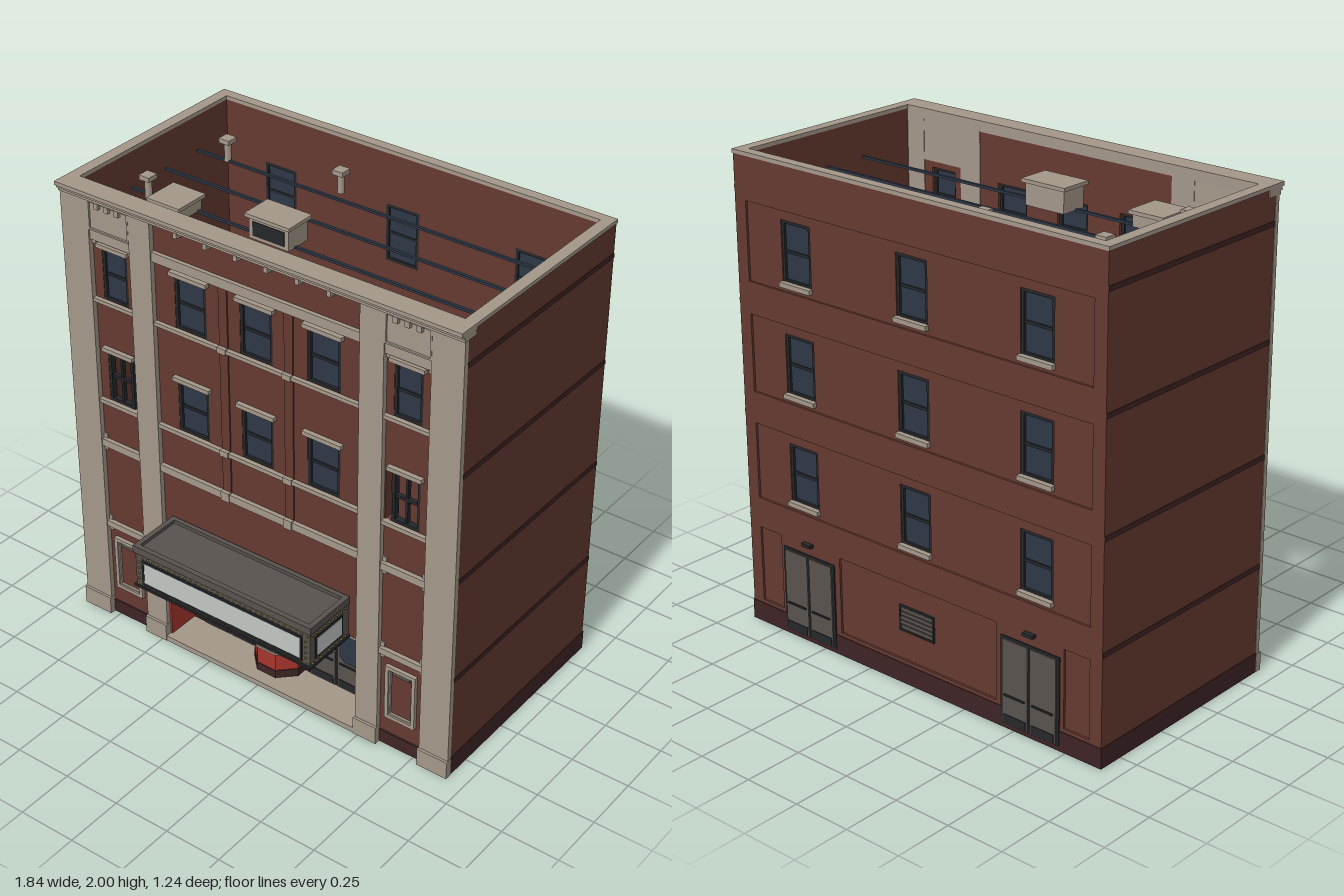
import * as THREE from 'three';

const mat = (name, color, double) => {
  const m = new THREE.MeshStandardMaterial({ color });
  m.name = name;
  if (double) m.side = THREE.DoubleSide;
  return m;
};

export function createModel() {
  const model = new THREE.Group();
  model.name = 'theatreBuilding';
  const brick = mat('brick', 0x653a30), stone = mat('stone', 0xa4988a), base = mat('darkBrick', 0x3f2425),
    red = mat('redPanel', 0xa8342d), metal = mat('greyMetal', 0x59534e), dark = mat('darkFrame', 0x25272a),
    glass = mat('glass', 0x2d3846), white = mat('signWhite', 0xc2c8c4), gold = mat('bulbGold', 0x96781f);

  const add = (name, geo, m, parent = model) => {
    const mesh = new THREE.Mesh(geo, m);
    mesh.name = name;
    parent.add(mesh);
    return mesh;
  };
  // Box given by its limits on each axis
  const box = (name, m, x0, x1, y0, y1, z0, z1, parent) => {
    const g = new THREE.BoxGeometry(x1 - x0, y1 - y0, z1 - z0);
    g.translate((x0 + x1) / 2, (y0 + y1) / 2, (z0 + z1) / 2);
    return add(name, g, m, parent);
  };
  // Same box on both sides of x = 0
  const pair = (name, m, x0, x1, ...r) => {
    box(name + 'Left', m, x0, x1, ...r);
    box(name + 'Right', m, -x1, -x0, ...r);
  };
  const rect = (T, [x0, x1, y0, y1]) =>
    new T([[x0, y0], [x1, y0], [x1, y1], [x0, y1]].map(p => new THREE.Vector2(...p)));
  // Flat wall with rectangular openings
  const wall = (name, m, outline, holes, z0, z1, parent) => {
    const s = rect(THREE.Shape, outline);
    holes.forEach(h => s.holes.push(rect(THREE.Path, h)));
    const g = new THREE.ExtrudeGeometry(s, { depth: z1 - z0, bevelEnabled: false });
    g.translate(0, 0, z0);
    return add(name, g, m, parent);
  };
  const ring = (name, m, x0, x1, y0, y1, t, z0, z1, parent) =>
    wall(name, m, [x0, x1, y0, y1], [[x0 + t, x1 - t, y0 + t, y1 - t]], z0, z1, parent);

  // Sash window, facing +z at depth z
  const sash = (name, x, y0, w, h, z, hood, glazed = true) => {
    const g = new THREE.Group();
    g.name = name;
    g.position.set(x, y0, z);
    const a = w / 2;
    ring('windowFrame', dark, -a, a, 0, h, 0.013, -0.03, -0.004, g);
    box('meetingRail', dark, -a + 0.01, a - 0.01, h / 2 - 0.006, h / 2 + 0.006, -0.026, -0.008, g);
    if (glazed) box('windowGlass', glass, -a + 0.01, a - 0.01, 0.01, h - 0.01, -0.022, -0.014, g);
    else box('centreBar', dark, -0.005, 0.005, 0.01, h - 0.01, -0.026, -0.008, g);
    if (hood) box('windowHood', stone, -a - 0.014, a + 0.014, h, h + 0.018, -0.005, 0.018, g);
    else box('windowSill', stone, -a - 0.005, a + 0.005, -0.016, 0.004, -0.02, 0.018, g);
    model.add(g);
    return g;
  };

  // Floor, plinth and side walls
  box('floor', base, -0.918, 0.918, 0.002, 0.02, -0.608, 0.35);
  box('entranceFloor', stone, -0.478, 0.478, 0, 0.024, 0.215, 0.385);
  pair('sideWall', brick, 0.875, 0.918, 0.01, 1.985, -0.608, 0.357);
  pair('sidePlinth', base, 0.9, 0.921, 0, 0.085, -0.612, 0.357);
  for (const y of [0.465, 0.925, 1.39, 1.85]) pair('sideBand', base, 0.91, 0.921, y - 0.01, y + 0.01, -0.608, 0.357);

  // Back wall with sunken panels and nine windows
  const floors = [0.595, 1.055, 1.515], W = 0.155, H = 0.25, holes = [];
  for (const y of floors) for (const x of [-0.6, 0, 0.6]) holes.push([x - W / 2, x + W / 2, y, y + H]);
  wall('backWall', brick, [-0.876, 0.876, 0.02, 1.985], holes, -0.6, -0.57);
  wall('backPanelFrames', brick, [-0.918, 0.918, 0.02, 1.985], [
    ...floors.map(y => [-0.86, 0.86, y - 0.035, y + 0.29]),
    [-0.86, -0.74, 0.1, 0.43], [-0.41, 0.41, 0.1, 0.43], [0.74, 0.86, 0.1, 0.43]], -0.609, -0.599);
  box('backPlinth', base, -0.921, 0.921, 0, 0.085, -0.612, -0.59);
  for (const y of floors) for (const x of [-0.6, 0, 0.6])
    sash('backWindow', x, y, W, H, -0.6, false).rotation.y = Math.PI;

  // Double door facing +z, with its own origin on the ground
  const ovalShape = (w, h, c) => new THREE.Shape([[-w + c, -h], [w - c, -h], [w, -h + c], [w, h - c],
    [w - c, h], [-w + c, h], [-w, h - c], [-w, -h + c]].map(p => new THREE.Vector2(...p)));
  const doubleDoor = (name, x, z, fancy) => {
    const g = new THREE.Group();
    g.name = name;
    g.position.set(x, 0, z);
    box('doorFrame', dark, -0.142, 0.142, 0.02, fancy ? 0.43 : 0.39, 0, 0.006, g);
    if (fancy) box('transomGlass', glass, -0.133, 0.133, 0.375, 0.42, 0.004, 0.009, g);
    for (const s of [-1, 1]) {
      const c = s * 0.068;
      box('doorLeaf', metal, c - 0.062, c + 0.062, 0.025, fancy ? 0.365 : 0.38, 0, 0.012, g);
      box('kickPlate', dark, c - 0.055, c + 0.055, 0.03, 0.065, 0.01, 0.015, g);
      box('pushBar', dark, c - 0.05, c + 0.05, 0.145, 0.152, 0.01, 0.018, g);
      if (fancy) for (const [m, k, d] of [[dark, 0.006, 0.013], [glass, 0, 0.014]]) {
        const p = add('doorGlass', new THREE.ShapeGeometry(ovalShape(0.047 + k, 0.088 + k, 0.025)), m, g);
        p.position.set(c, 0.255, d);
      }
    }
    model.add(g);
    return g;
  };
  for (const x of [-0.58, 0.58]) {
    doubleDoor('backDoor', x, -0.609, false).rotation.y = Math.PI;
    box('backDoorLamp', dark, x - 0.025, x + 0.025, 0.43, 0.443, -0.63, -0.605);
  }
  ring('ventFrame', dark, -0.09, 0.09, 0.225, 0.335, 0.008, -0.608, -0.598);
  for (let i = 0; i < 5; i++) box('ventSlat', metal, -0.083, 0.083, 0.235 + i * 0.019, 0.249 + i * 0.019, -0.606, -0.599);

  // Brick infill of the front, with window openings
  const wx = [-0.31, 0, 0.31], rows = [1.07, 1.53], wh = 0.23, fh = [];
  for (const y of rows) for (const x of wx) fh.push([x - 0.075, x + 0.075, y, y + wh]);
  wall('frontWallCentre', brick, [-0.49, 0.49, 0.445, 1.96], fh, 0.315, 0.355);
  for (const s of [-1, 1]) {
    const span = (a, b) => (s > 0 ? [a, b] : [-b, -a]);
    wall('frontWallSide', brick, [...span(0.575, 0.795), 0.02, 1.8],
      [[...span(0.59, 0.742), 1.07, 1.3], [...span(0.618, 0.742), 1.53, 1.76]], 0.315, 0.355);
    sash('sideWindowUpper', s * 0.68, 1.53, 0.125, wh, 0.357, true);
    sash('sideWindowLower', s * 0.68, 1.07, 0.125, wh, 0.357, true, false);
    // Poster frame
    const [p0, p1] = span(0.615, 0.755);
    ring('posterFrame', stone, p0, p1, 0.145, 0.4, 0.016, 0.35, 0.372);
    ring('posterMoulding', stone, p0 + 0.012, p1 - 0.012, 0.157, 0.388, 0.01, 0.35, 0.365);
    box('posterLamp', metal, p0 + 0.03, p1 - 0.03, 0.362, 0.376, 0.35, 0.364);
    // Stone panel at the head of the side bay
    const [q0, q1] = span(0.585, 0.785);
    ring('headPanelFrame', stone, q0, q1, 1.83, 1.955, 0.007, 0.365, 0.378);
    for (const x of [0.635, 0.685, 0.735]) box('headBracket', stone, s * x - 0.01, s * x + 0.01, 1.93, 1.955, 0.365, 0.385);
  }
  for (const y of rows) for (const x of wx) sash('frontWindow', x, y, 0.15, wh, 0.357, true);
  pair('brickPier', brick, 0.132, 0.172, 0.88, 1.79, 0.35, 0.361);

  // Stone pilasters and horizontal bands
  pair('outerPilaster', stone, 0.785, 0.92, 0.01, 1.985, 0.356, 0.377);
  pair('outerPilasterCore', stone, 0.785, 0.9, 0.02, 1.985, 0.312, 0.357);
  pair('innerPilaster', stone, 0.48, 0.585, 0.01, 1.985, 0.312, 0.377);
  pair('outerPilasterFoot', stone, 0.783, 0.922, 0, 0.08, 0.358, 0.388);
  pair('innerPilasterFoot', stone, 0.478, 0.587, 0, 0.08, 0.35, 0.388);
  pair('frontPlinth', base, 0.58, 0.79, 0, 0.06, 0.33, 0.362);
  pair('sideBayHead', stone, 0.58, 0.79, 1.785, 1.985, 0.314, 0.37);
  box('centreHeadBand', stone, -0.485, 0.485, 1.79, 1.83, 0.35, 0.372);
  for (const [y0, y1] of [[0.845, 0.878], [1.052, 1.07], [1.514, 1.53]]) {
    box('centreBand', stone, -0.485, 0.485, y0, y1, 0.35, 0.373);
    pair('sideBand', stone, 0.58, 0.79, y0, y1, 0.35, 0.373);
    pair('bandBlock', stone, 0.132, 0.172, y0 - 0.004, y1 + 0.004, 0.35, 0.377);
  }
  pair('lowerBand', stone, 0.58, 0.79, 0.447, 0.475, 0.35, 0.373);
  for (const y of [0.435, 0.487, 0.833, 0.89, 1.775])
    for (const x of [0.595, 0.775]) pair('cornerBlock', stone, x - 0.009, x + 0.009, y - 0.009, y + 0.009, 0.35, 0.362);

  // Stepped cornice, brackets and coping
  [[1.955, 1.97, 0.383], [1.97, 1.984, 0.392], [1.984, 2, 0.403]].forEach(([y0, y1, z]) =>
    box('cornice', stone, -0.922, 0.922, y0, y1, 0.312, z));
  for (let i = 0; i < 6; i++) {
    const x = -0.35 + i * 0.14;
    box('corniceBracket', stone, x - 0.009, x + 0.009, 1.935, 1.958, 0.35, 0.385);
  }
  pair('copingSide', stone, 0.873, 0.922, 1.984, 2, -0.612, 0.32);
  box('copingBack', stone, -0.88, 0.88, 1.984, 2, -0.612, -0.568);

  // Recessed entrance, lobby and doors
  box('entranceWall', red, -0.48, 0.48, 0.02, 0.44, 0.19, 0.205);
  box('entrancePlinth', base, -0.478, 0.478, 0.02, 0.06, 0.2, 0.208);
  pair('entranceReturn', red, 0.47, 0.482, 0.02, 0.444, 0.2, 0.357);
  box('entranceCeiling', stone, -0.478, 0.478, 0.437, 0.447, 0.215, 0.357);
  box('lobbyRoof', base, -0.45, 0.45, 0.43, 0.44, -0.01, 0.192);
  for (const s of [-1, 1]) doubleDoor('entranceDoor', s * 0.272, 0.206, true);
  box('boothNotice', white, -0.06, 0.06, 0.372, 0.42, 0.2, 0.211);

  // Eight-sided ticket booth
  [['boothBase', base, 0.02, 0.06, 0.113], ['boothPanel', red, 0.06, 0.142, 0.11], ['boothCounter', stone, 0.142, 0.152, 0.116],
    ['boothGlass', glass, 0.152, 0.335, 0.105], ['boothCap', dark, 0.335, 0.355, 0.117]].forEach(([n, m, y0, y1, a]) => {
    const r = a / Math.cos(Math.PI / 8), g = new THREE.CylinderGeometry(r, r, y1 - y0, 8).toNonIndexed();
    g.rotateY(Math.PI / 8);
    g.computeVertexNormals();
    g.translate(0, (y0 + y1) / 2, 0.215);
    add(n, g, m);
  });
  for (let i = -2; i <= 2; i++) {
    if (!i) continue;
    const a = (Math.abs(i) - 0.5) * Math.sign(i) * Math.PI / 4, r = 0.113;
    const x = r * Math.sin(a), z = 0.215 + r * Math.cos(a);
    box('boothPost', dark, x - 0.006, x + 0.006, 0.15, 0.34, z - 0.006, z + 0.006);
  }

  // Marquee with sign boards and bulbs
  box('marqueeBody', metal, -0.43, 0.43, 0.448, 0.625, 0.35, 0.6);
  box('marqueeSoffit', dark, -0.438, 0.438, 0.443, 0.453, 0.356, 0.607);
  const rim = wall('marqueeRim', metal, [-0.437, 0.437, 0.36, 0.607], [[-0.415, 0.415, 0.38, 0.585]], -0.64, -0.608);
  rim.rotation.x = Math.PI / 2;
  rim.scale.z = 1;
  rim.position.y = 0;
  box('marqueeSign', white, -0.385, 0.385, 0.474, 0.572, 0.59, 0.605);
  ring('marqueeSignFrame', dark, -0.395, 0.395, 0.464, 0.582, 0.01, 0.595, 0.607);
  pair('marqueeSideSign', white, 0.42, 0.435, 0.484, 0.565, 0.405, 0.56);
  pair('marqueeSideTrim', dark, 0.42, 0.433, 0.474, 0.575, 0.395, 0.57);
  const bulb = new THREE.OctahedronGeometry(0.0065);
  const light = (x, y, z) => add('bulb', bulb, gold).position.set(x, y, z);
  for (const y of [0.461, 0.594]) {
    for (let i = 0; i < 32; i++) light(-0.42 + i * 0.84 / 31, y, 0.603);
    for (let i = 0; i < 9; i++) for (const s of [-1, 1]) light(s * 0.433, y, 0.38 + i * 0.026);
  }
  for (let i = 1; i < 5; i++) for (const s of [-1, 1]) light(s * 0.412, 0.461 + i * 0.0266, 0.603);

  // Rooftop seams, vents and air units
  for (const z of [-0.365, -0.165, 0.035]) box('roofSeam', glass, -0.86, 0.86, 1.836, 1.846, z - 0.006, z + 0.006);
  for (const [x0, x1, z0, z1, y] of [[-0.26, -0.05, -0.05, 0.09, 1.945], [-0.68, -0.52, 0, 0.16, 1.905]]) {
    box('airUnit', stone, x0 + 0.012, x1 - 0.012, 1.84, y - 0.015, z0 + 0.012, z1 - 0.012);
    box('airUnitLid', stone, x0, x1, y - 0.015, y, z0, z1);
    box('airUnitGrille', dark, x0 + 0.03, x1 - 0.03, 1.855, y - 0.03, z1 - 0.013, z1 - 0.009);
  }
  for (const [x, z] of [[-0.71, -0.37], [-0.19, -0.42], [-0.755, 0.06]]) {
    add('ventPipe', new THREE.CylinderGeometry(0.015, 0.015, 0.09, 10), stone).position.set(x, 1.885, z);
    box('ventCap', stone, x - 0.025, x + 0.025, 1.92, 1.94, z - 0.025, z + 0.025);
  }
  return model;
}
